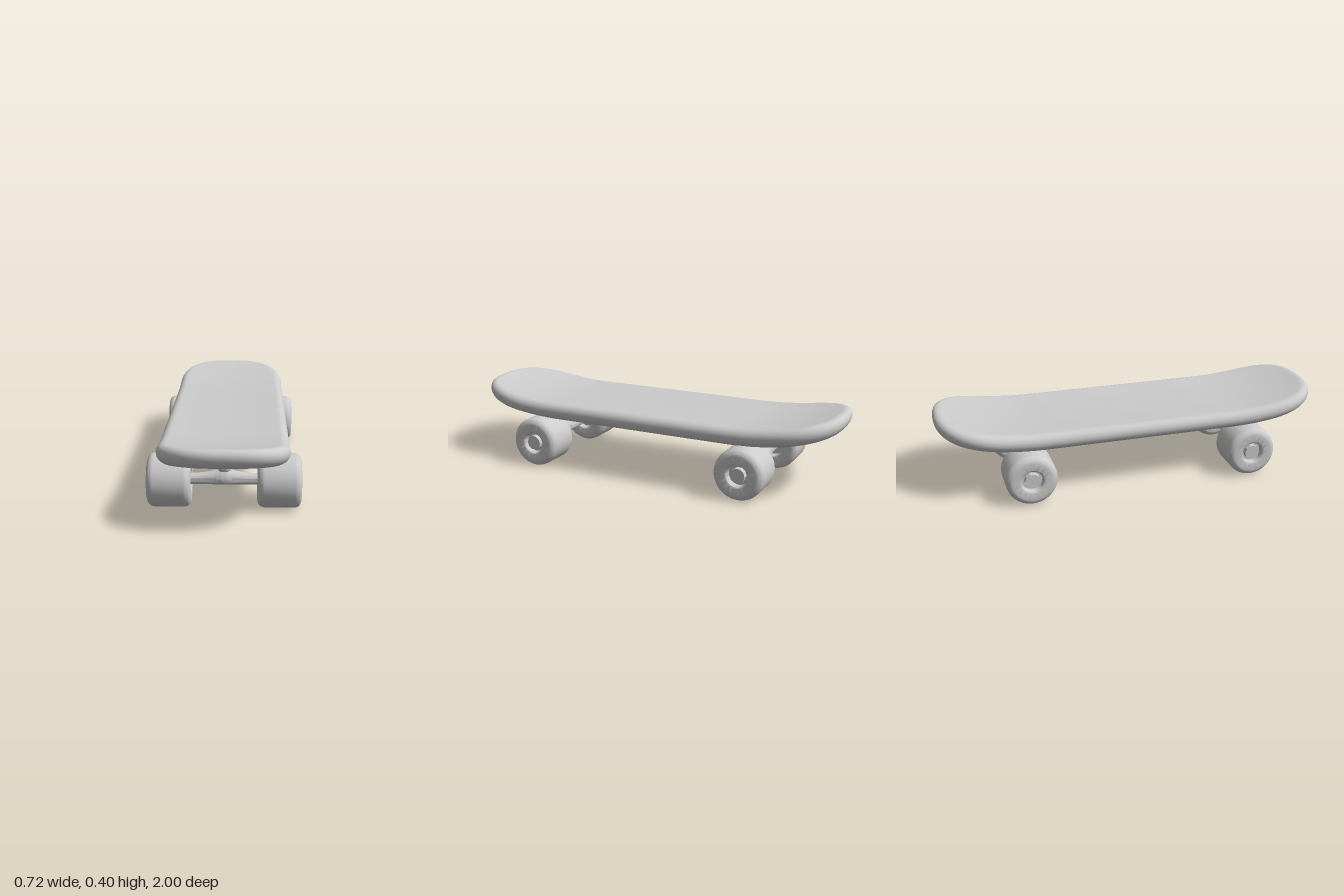
import * as THREE from 'three';
import { mergeVertices, toCreasedNormals } from 'three/addons/utils/BufferGeometryUtils.js';

const material = new THREE.MeshStandardMaterial({ color: 0xcccccc, roughness: 0.7 });

function part(name, geometry, x = 0, y = 0, z = 0) {
  const mesh = new THREE.Mesh(geometry, material);
  mesh.name = name;
  mesh.position.set(x, y, z);
  return mesh;
}

// Plan of the deck: straight sides joined by squarish round ends
function deckOutline() {
  const half = [], W = 0.303, Z = 0.68, L = 0.32, e = 2 / 2.6;
  for (let i = 0; i < 28; i++) half.push([W, -Z + (2 * Z * i) / 28]);
  for (let i = 0; i < 64; i++) {
    const a = (Math.PI * i) / 64, c = Math.cos(a), s = Math.sin(a);
    half.push([Math.sign(c) * W * Math.abs(c) ** e, Z + L * s ** e]);
  }
  return [...half, ...half.map(([x, z]) => [-x, -z])];
}

// Deck: a thick slab with a round rim, a slight dish and upturned ends
function deckGeometry() {
  const outline = deckOutline(), n = outline.length, R = 0.044;
  // Profile from centre top round the rim to centre bottom: [width factor, inset, height]
  const profile = [];
  for (let i = 0; i < 8; i++) profile.push([i / 8, R, R]);
  for (let i = 0; i <= 14; i++) {
    const a = Math.PI / 2 - (Math.PI * i) / 14;
    profile.push([1, R * (1 - Math.cos(a)), R * Math.sin(a)]);
  }
  for (let i = 7; i >= 0; i--) profile.push([i / 8, R, -R]);

  const positions = [], index = [];
  profile.forEach(([k, inset, h], j) => {
    outline.forEach(([px, pz], i) => {
      const a = outline[(i + n - 1) % n], b = outline[(i + 1) % n];
      const tx = b[0] - a[0], tz = b[1] - a[1], len = Math.hypot(tx, tz);
      const x = (px - (inset * tz) / len) * k, z = pz + (inset * tx) / len;
      const rise = 0.081 * Math.max(0, (Math.abs(z) - 0.48) / 0.52) ** 2;
      positions.push(x, 0.283 + h + rise + 0.01 * (x / 0.28) ** 2, z);
      if (j < profile.length - 1) {
        const p = j * n + i, q = j * n + ((i + 1) % n);
        index.push(p, q, p + n, q, q + n, p + n);
      }
    });
  });
  let g = new THREE.BufferGeometry();
  g.setAttribute('position', new THREE.Float32BufferAttribute(positions, 3));
  g.setIndex(index);
  g = mergeVertices(g, 1e-5);
  g.computeVertexNormals();
  return g;
}

// Wheel: lathed tyre with rounded shoulders and a hub recess on both faces, axis on x
function wheelGeometry() {
  const R = 0.128, H = 0.1025, r = 0.033, pts = [];
  const arc = (cx, cy, rad, from, to) => {
    for (let i = 0; i <= 8; i++) {
      const a = from + ((to - from) * i) / 8;
      pts.push(new THREE.Vector2(cx + rad * Math.cos(a), cy + rad * Math.sin(a)));
    }
  };
  pts.push(new THREE.Vector2(0, -H + 0.035), new THREE.Vector2(0.052, -H + 0.035));
  arc(0.064, -H + 0.012, 0.012, Math.PI, Math.PI * 1.5);
  arc(R - r, -H + r, r, -Math.PI / 2, 0);
  arc(R - r, H - r, r, 0, Math.PI / 2);
  arc(0.064, H - 0.012, 0.012, Math.PI / 2, Math.PI);
  pts.push(new THREE.Vector2(0.052, H - 0.035), new THREE.Vector2(0, H - 0.035));
  return toCreasedNormals(new THREE.LatheGeometry(pts, 48), 0.6).rotateZ(Math.PI / 2);
}

// Hanger: round bar swelling up to a saddle in the middle
function hangerGeometry() {
  const g = new THREE.CylinderGeometry(0.0265, 0.0265, 0.38, 28, 48).rotateZ(Math.PI / 2);
  const p = g.attributes.position;
  for (let i = 0; i < p.count; i++) {
    const swell = Math.max(0, 1 - Math.abs(p.getX(i)) / 0.16) ** 2;
    const y = p.getY(i);
    if (y > 0) p.setY(i, y * (1 + 1.1 * swell));
    p.setZ(i, p.getZ(i) * (1 + 0.6 * swell));
  }
  g.computeVertexNormals();
  return toCreasedNormals(g, 0.7);
}

// Base plate: rounded square with softened edges, lying flat
function plateGeometry() {
  const a = 0.085, r = 0.03, s = new THREE.Shape();
  s.absarc(a - r, a - r, r, 0, Math.PI / 2);
  s.absarc(r - a, a - r, r, Math.PI / 2, Math.PI);
  s.absarc(r - a, r - a, r, Math.PI, Math.PI * 1.5);
  s.absarc(a - r, r - a, r, Math.PI * 1.5, Math.PI * 2);
  const g = new THREE.ExtrudeGeometry(s, {
    depth: 0.025, bevelEnabled: true, bevelSize: 0.005, bevelThickness: 0.005, bevelSegments: 3, curveSegments: 8,
  });
  return toCreasedNormals(g.rotateX(-Math.PI / 2), 0.6);
}

// Kingpin: short post with a rounded foot
function kingpinGeometry() {
  const pts = [[0, 0.167], [0.02, 0.168], [0.027, 0.172], [0.03, 0.179], [0.03, 0.23]];
  return toCreasedNormals(new THREE.LatheGeometry(pts.map(([x, y]) => new THREE.Vector2(x, y)), 28), 0.8);
}

export function createModel() {
  const model = new THREE.Group();
  model.name = 'skateboard';
  model.add(part('deck', deckGeometry()));

  const wheel = wheelGeometry(), hanger = hangerGeometry();
  const plate = plateGeometry(), kingpin = kingpinGeometry();
  const nut = toCreasedNormals(new THREE.CylinderGeometry(0.038, 0.038, 0.04, 10), 0.3).rotateZ(Math.PI / 2);

  for (const end of [1, -1]) {
    const truck = new THREE.Group();
    truck.name = end > 0 ? 'frontTruck' : 'rearTruck';
    truck.position.z = end * 0.575;
    truck.add(part('basePlate', plate, 0, 0.22, -end * 0.01));
    truck.add(part('kingpin', kingpin));
    truck.add(part('hanger', hanger, 0, 0.1335, 0));
    for (const side of [1, -1]) {
      const label = side > 0 ? 'left' : 'right';
      truck.add(part(label + 'Wheel', wheel, side * 0.2575, 0.128, 0));
      truck.add(part(label + 'AxleNut', nut, side * 0.334, 0.128, 0));
    }
    model.add(truck);
  }
  return model;
}
